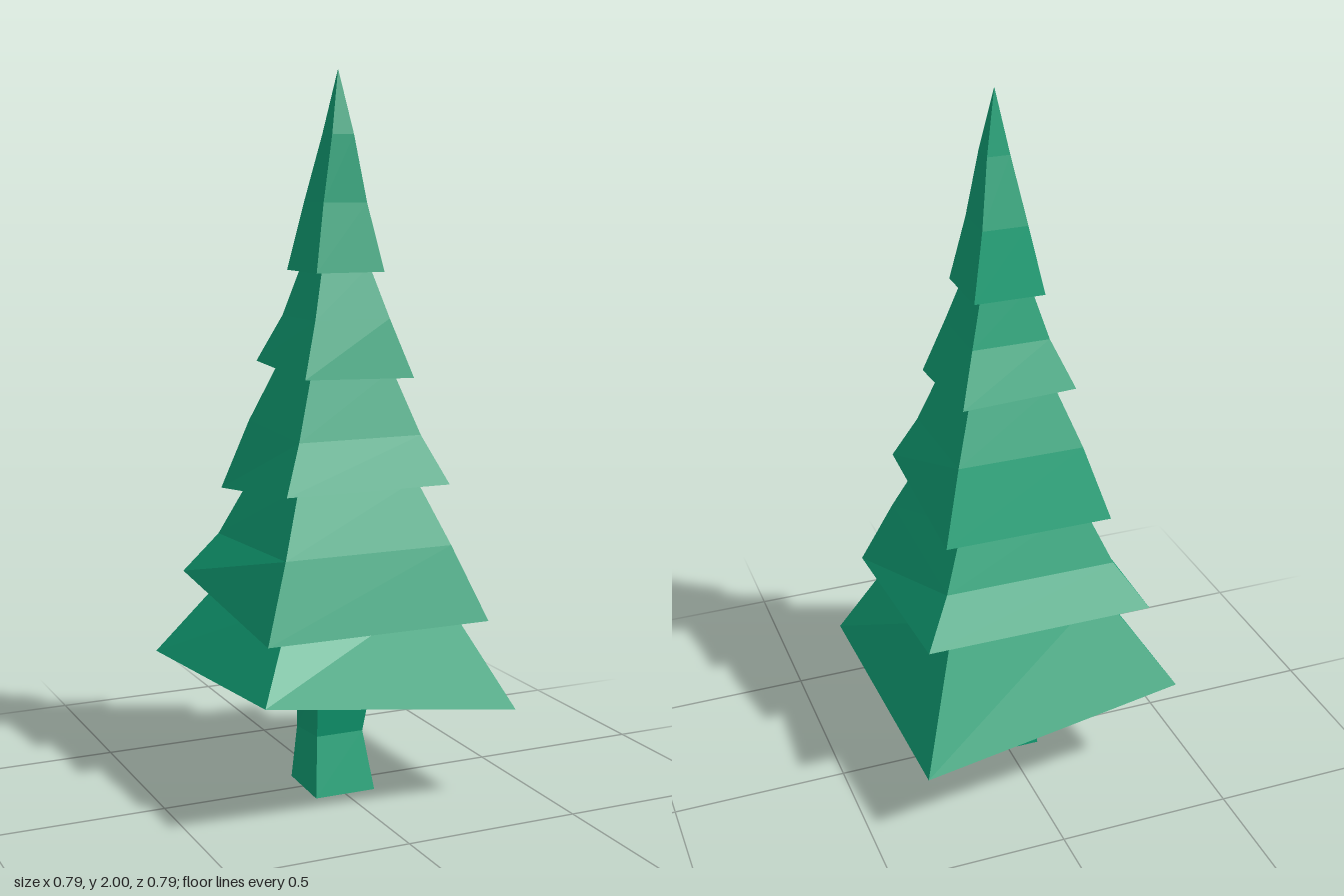
import * as THREE from 'three';

const green = new THREE.MeshStandardMaterial({ color: 0x11a075, flatShading: true });

// Four-cornered ring: front-left, front-right, back-right, back-left as seen from the front
const ring = (hx, zFront, zBack, yFront, yBack = yFront) => [
  [-hx, yFront, zFront], [hx, yFront, zFront], [hx, yBack, zBack], [-hx, yBack, zBack],
];

// Closed, flat-shaded skin through a stack of rings, bottom to top
function loft(name, rings) {
  const pos = [];
  const quad = (a, b, c, d) => pos.push(...a, ...b, ...c, ...a, ...c, ...d);
  for (let i = 0; i < rings.length - 1; i++) {
    const lo = rings[i], hi = rings[i + 1];
    for (let j = 0; j < 4; j++) {
      const k = (j + 1) % 4;
      quad(lo[j], lo[k], hi[k], hi[j]);
    }
  }
  const first = rings[0], last = rings[rings.length - 1];
  quad(first[3], first[2], first[1], first[0]);
  quad(last[0], last[1], last[2], last[3]);
  const geo = new THREE.BufferGeometry();
  geo.setAttribute('position', new THREE.Float32BufferAttribute(pos, 3));
  geo.computeVertexNormals();
  const mesh = new THREE.Mesh(geo, green);
  mesh.name = name;
  return mesh;
}

export function createModel() {
  const tree = new THREE.Group();
  tree.name = 'pineTree';

  // Crooked trunk, pinched in the middle
  tree.add(loft('trunk', [
    ring(0.09, 0.105, -0.07, 0, 0.008),
    ring(0.07, 0.067, -0.075, 0.165, 0.155),
    ring(0.085, 0.105, -0.045, 0.33, 0.31),
  ]));

  // Lowest tier, twisted and tilted sideways
  tree.add(loft('branchTier1', [
    [[-0.36, 0.38, 0.395], [0.395, 0.27, 0.365], [0.36, 0.23, -0.395], [-0.395, 0.34, -0.365]],
    ring(0.22, 0.235, -0.21, 0.6),
  ]));

  // Middle tiers, each tipped forward or back and flaring at the hem
  tree.add(loft('branchTier2', [
    ring(0.325, 0.33, -0.315, 0.52, 0.585),
    ring(0.245, 0.26, -0.235, 0.725, 0.705),
    ring(0.175, 0.185, -0.165, 0.9, 0.87),
  ]));
  tree.add(loft('branchTier3', [
    ring(0.24, 0.257, -0.222, 0.893, 0.84),
    ring(0.18, 0.2, -0.155, 1.025, 1.04),
    ring(0.12, 0.145, -0.085, 1.2, 1.205),
  ]));
  tree.add(loft('branchTier4', [
    [[-0.16, 1.19, 0.195], [0.165, 1.18, 0.187], [0.16, 1.2, -0.14], [-0.165, 1.21, -0.133]],
    ring(0.11, 0.148, -0.075, 1.34),
    ring(0.07, 0.105, -0.035, 1.48),
  ]));

  // Pointed crown
  tree.add(loft('crown', [
    ring(0.1, 0.135, -0.065, 1.465),
    ring(0.064, 0.1, -0.03, 1.65),
    ring(0.032, 0.085, 0.02, 1.83),
    ring(0.0005, 0.0525, 0.0515, 2),
  ]));
  return tree;
}
